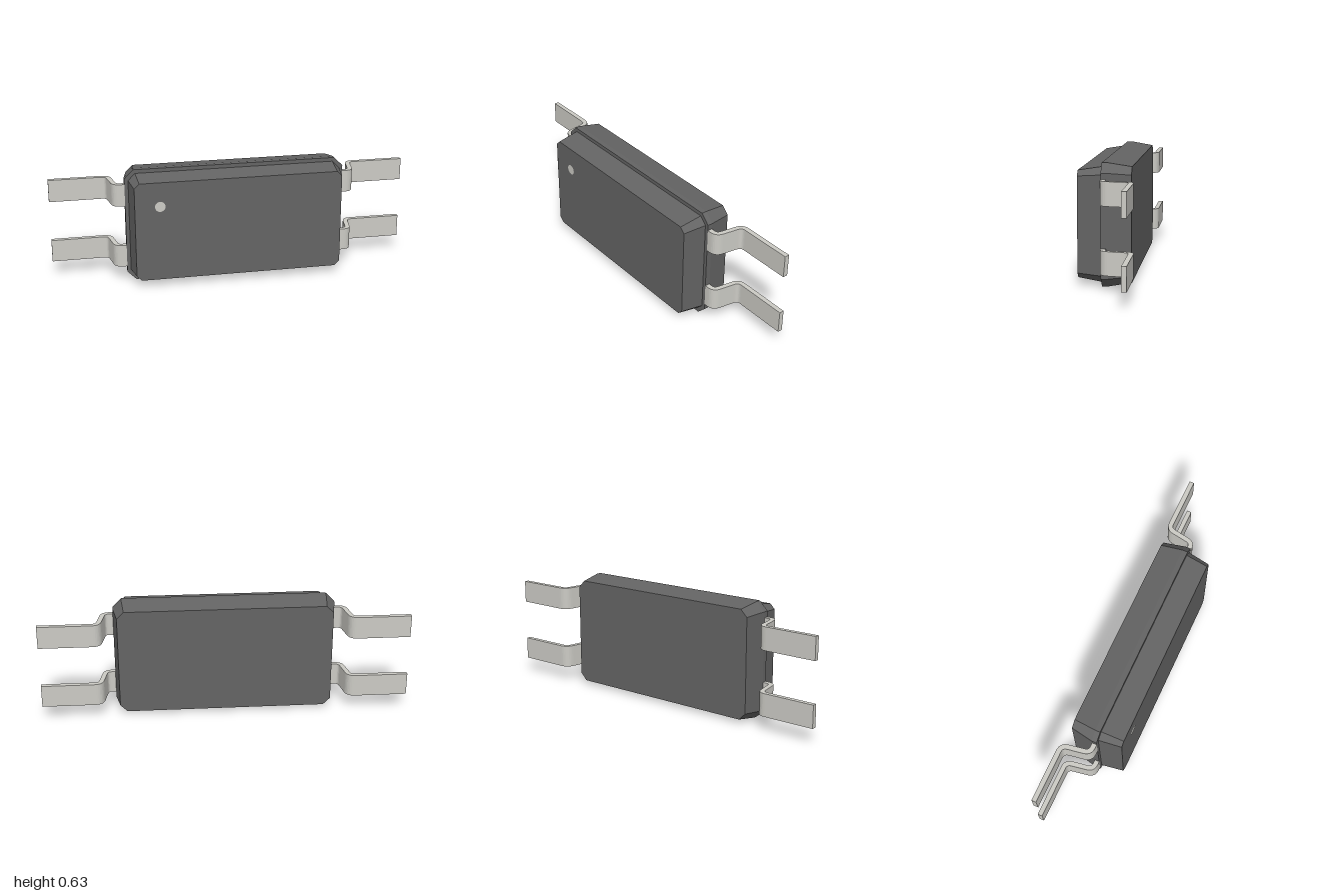
import * as THREE from 'three';

const MID_Y = 0.316;
const bodyMat = new THREE.MeshStandardMaterial({ color: 0x646464, flatShading: true });
const metalMat = new THREE.MeshStandardMaterial({ color: 0xcccbc5 });

// Octagonal cross-section: rectangle with cut corners, counter-clockwise from +z
function section([z, hx, hy, c]) {
  return [
    [hx, -hy + c], [hx, hy - c], [hx - c, hy], [-hx + c, hy],
    [-hx, hy - c], [-hx, -hy + c], [-hx + c, -hy], [hx - c, -hy],
  ].map(([x, y]) => [x, y, z]);
}

// Loft through the sections from back to front, with closed ends
function loft(sections) {
  const rings = sections.map(section);
  const pos = [];
  const tri = (a, b, c) => pos.push(...a, ...b, ...c);
  for (let k = 0; k < rings.length - 1; k++) {
    for (let i = 0; i < 8; i++) {
      const j = (i + 1) % 8;
      const [a, b, c, d] = [rings[k][i], rings[k][j], rings[k + 1][j], rings[k + 1][i]];
      tri(a, b, c);
      tri(a, c, d);
    }
  }
  const back = rings[0], front = rings[rings.length - 1];
  for (let i = 1; i < 7; i++) {
    tri(back[0], back[i + 1], back[i]);
    tri(front[0], front[i], front[i + 1]);
  }
  const geo = new THREE.BufferGeometry();
  geo.setAttribute('position', new THREE.Float32BufferAttribute(pos, 3));
  geo.computeVertexNormals();
  return geo;
}

// Bent strip: a gull-wing centre line thickened to a profile and extruded across its width
function leadGeometry(width, thickness) {
  const v = (x, z) => new THREE.Vector2(x, z);
  const path = [
    v(0.56, 0.014),
    ...new THREE.CubicBezierCurve(v(0.622, 0.014), v(0.648, 0.014), v(0.658, 0), v(0.661, -0.025)).getPoints(8),
    ...new THREE.CubicBezierCurve(v(0.674, -0.1), v(0.678, -0.125), v(0.69, -0.137), v(0.715, -0.137)).getPoints(8),
    v(1, -0.137),
  ];
  const side = (s) => path.map((p, i) => {
    const a = path[Math.max(i - 1, 0)], b = path[Math.min(i + 1, path.length - 1)];
    const t = b.clone().sub(a).normalize();
    // Ends stay square to the straight runs
    const n = i === 0 || i === path.length - 1 ? v(0, 1) : v(-t.y, t.x);
    return p.clone().addScaledVector(n, s * thickness / 2);
  });
  const shape = new THREE.Shape([...side(-1), ...side(1).reverse()]);
  const geo = new THREE.ExtrudeGeometry(shape, { depth: width, bevelEnabled: false });
  geo.translate(0, 0, -width / 2);
  geo.rotateX(Math.PI / 2);
  return geo;
}

export function createModel() {
  const group = new THREE.Group();
  const add = (name, geo, mat, x, y, z) => {
    const mesh = new THREE.Mesh(geo, mat);
    mesh.name = name;
    mesh.position.set(x, y, z);
    group.add(mesh);
    return mesh;
  };

  // Moulded package: wider rear half and narrower front half, [z, halfX, halfY, cornerCut]
  add('rearHousing', loft([
    [-0.123, 0.58, 0.295, 0.038],
    [0, 0.603, 0.315, 0.048],
    [0.028, 0.603, 0.315, 0.048],
  ]), bodyMat, 0, MID_Y, 0);
  add('frontHousing', loft([
    [0.028, 0.583, 0.294, 0.038],
    [0.152, 0.565, 0.274, 0.027],
  ]), bodyMat, 0, MID_Y, 0);

  // Orientation dot on the front face
  add('orientationDot', new THREE.CircleGeometry(0.028, 32), metalMat, -0.43, 0.457, 0.1535);

  // Two leads on each side; the right pair is turned half round about the z axis
  const lead = leadGeometry(0.123, 0.026);
  for (const [row, y] of [['lower', 0.143], ['upper', 0.49]]) {
    add(row + 'LeftLead', lead, metalMat, 0, y, 0.001);
    add(row + 'RightLead', lead, metalMat, 0, y, 0.001).rotation.z = Math.PI;
  }
  return group;
}
